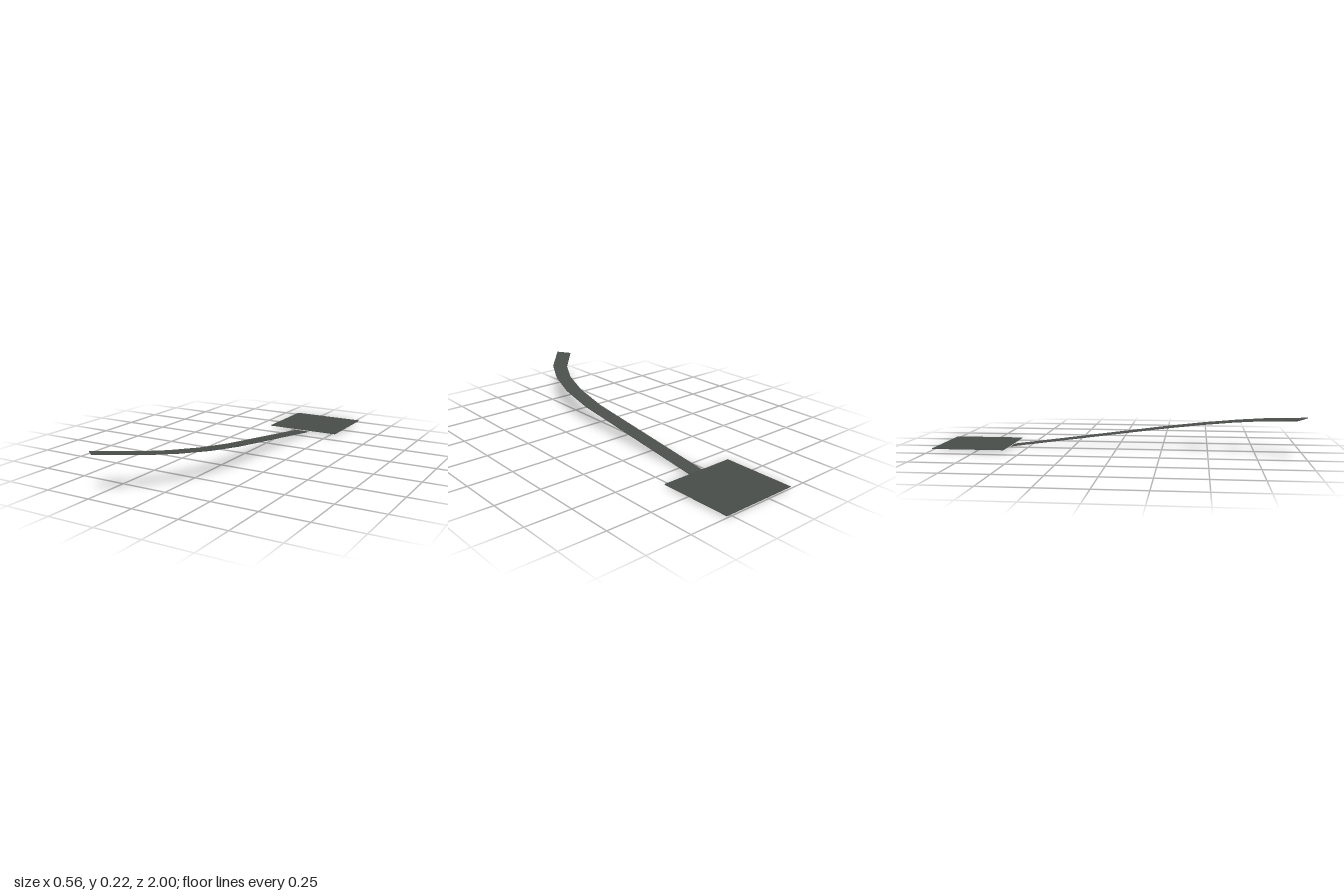
import * as THREE from 'three';

const THICKNESS = 0.003;

// Height of the ramp's top surface along its length
const rampHeight = (z) => 0.0835 + 0.1335 * z;

// Closed ribbon swept through [leftX, leftZ, rightX, rightZ] cross-sections
function ribbon(sections) {
  const positions = [];
  const quad = (a, b, c, d) => positions.push(...a, ...b, ...c, ...a, ...c, ...d);
  const rings = sections.map(([lx, lz, rx, rz]) => [
    [lx, rampHeight(lz), lz],
    [rx, rampHeight(rz), rz],
    [rx, rampHeight(rz) - THICKNESS, rz],
    [lx, rampHeight(lz) - THICKNESS, lz],
  ]);
  for (let i = 0; i < rings.length - 1; i++) {
    for (let k = 0; k < 4; k++) {
      const n = (k + 1) % 4;
      quad(rings[i][k], rings[i + 1][k], rings[i + 1][n], rings[i][n]);
    }
  }
  const first = rings[0];
  const last = rings[rings.length - 1];
  quad(first[0], first[1], first[2], first[3]);
  quad(last[3], last[2], last[1], last[0]);
  const geometry = new THREE.BufferGeometry();
  geometry.setAttribute('position', new THREE.Float32BufferAttribute(positions, 3));
  geometry.computeVertexNormals();
  return geometry;
}

export function createModel() {
  const model = new THREE.Group();
  model.name = 'rampAndPlatform';

  const platformGrey = new THREE.MeshStandardMaterial({ color: 0x474d48 });
  platformGrey.name = 'platform grey';
  const rampGrey = new THREE.MeshStandardMaterial({ color: 0x4b4f4b });
  rampGrey.name = 'ramp grey';

  // Flat platform at the back
  const platform = new THREE.Mesh(new THREE.BoxGeometry(0.439, THICKNESS, 0.4), platformGrey);
  platform.name = 'platform';
  platform.position.set(0.0625, 0.01, -0.8);
  model.add(platform);

  // Straight incline that bends to the right as it climbs
  const ramp = new THREE.Mesh(ribbon([
    [0.02, -0.602, 0.105, -0.602],
    [0.02, 0.232, 0.105, 0.25],
    [-0.008, 0.455, 0.077, 0.478],
    [-0.06, 0.632, 0.02, 0.664],
    [-0.132, 0.768, -0.062, 0.82],
    [-0.283, 0.94, -0.219, 0.998],
  ]), rampGrey);
  ramp.name = 'ramp';
  model.add(ramp);

  return model;
}
